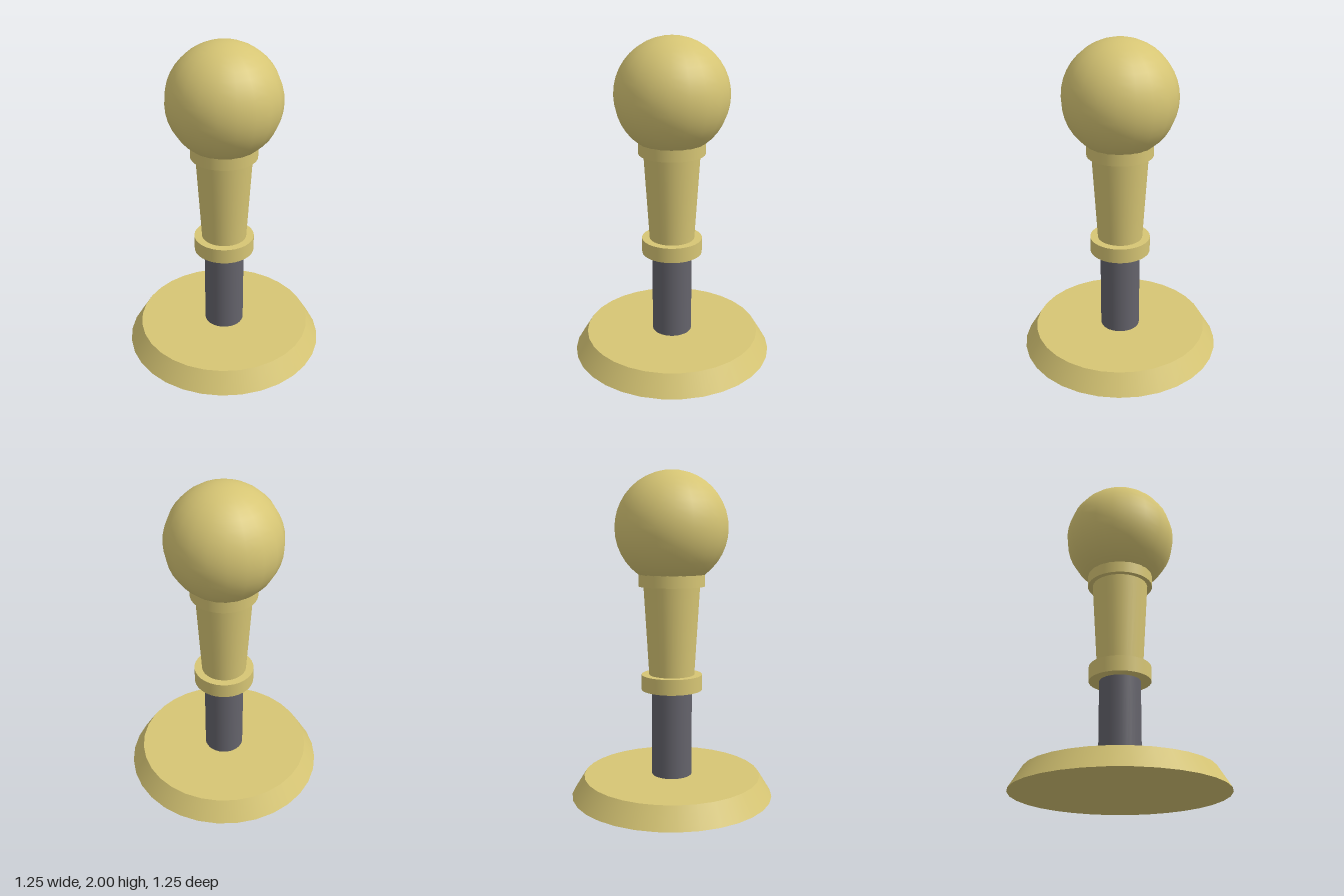
import * as THREE from 'three';

export function createModel() {
  const model = new THREE.Group();
  const brass = new THREE.MeshStandardMaterial({ color: 0xd6c574 });
  brass.name = 'brass';
  const steel = new THREE.MeshStandardMaterial({ color: 0x64636b });
  steel.name = 'dark steel';

  const add = (name, geometry, material, y) => {
    const mesh = new THREE.Mesh(geometry, material);
    mesh.name = name;
    mesh.position.y = y;
    model.add(mesh);
  };
  // Round section from height y0 to y1 with its bottom and top radius
  const section = (name, y0, y1, rBottom, rTop, material = brass) =>
    add(name, new THREE.CylinderGeometry(rTop, rBottom, y1 - y0, 32), material, (y0 + y1) / 2);

  // Sloped foot and the shaft rising from it
  section('base', 0, 0.125, 0.627, 0.55);
  section('shaft', 0.125, 0.665, 0.125, 0.125, steel);

  // Flared grip between two collars
  section('lowerCollar', 0.665, 0.76, 0.188, 0.188);
  section('grip', 0.76, 1.305, 0.14, 0.173);
  section('upperCollar', 1.305, 1.38, 0.203, 0.203);

  // Ball knob
  add('knob', new THREE.SphereGeometry(0.345, 20, 20), brass, 1.655);

  return model;
}
